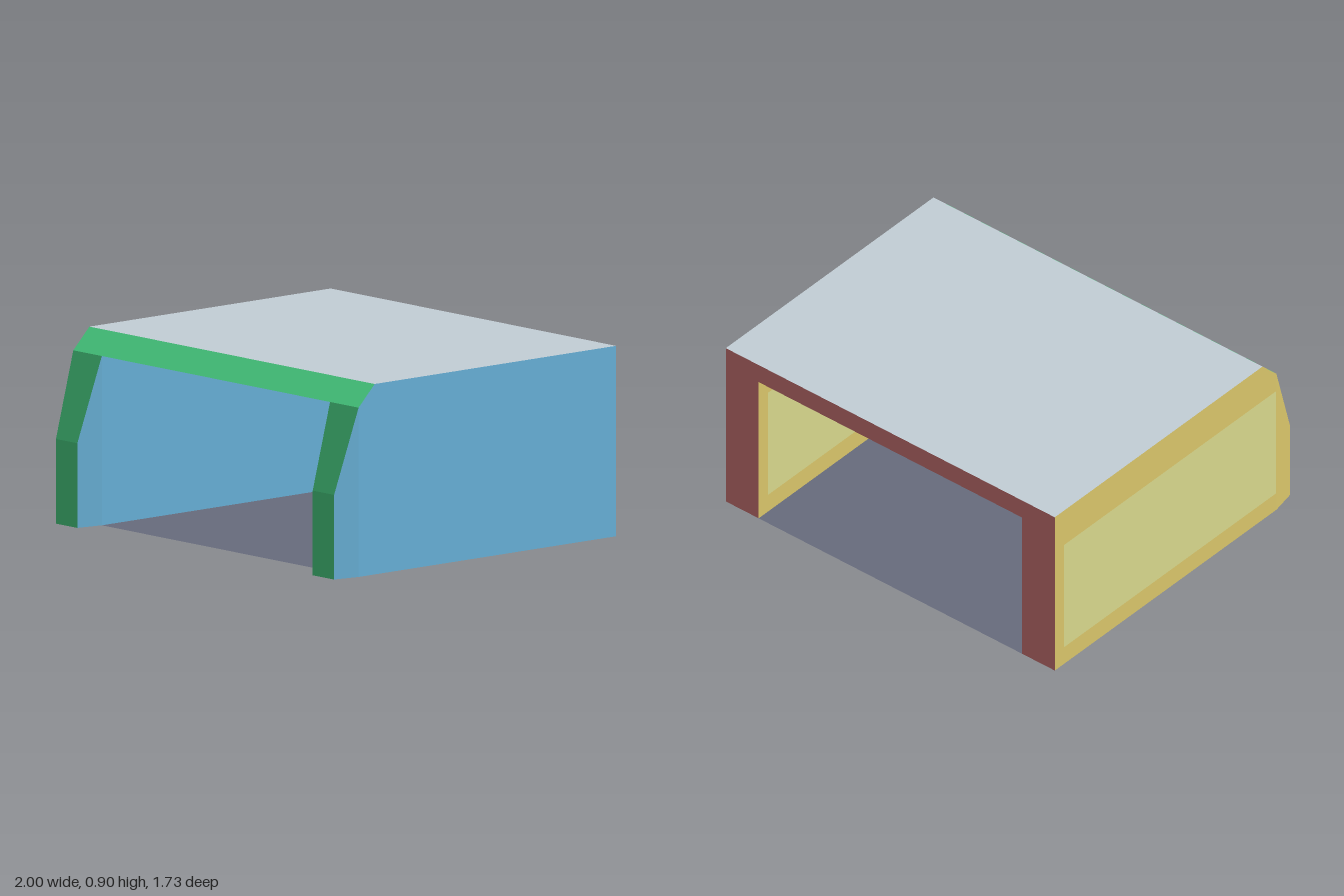
import * as THREE from 'three';

const mat = (name, color, side = THREE.FrontSide) => {
  const m = new THREE.MeshStandardMaterial({ color, side });
  m.name = name;
  return m;
};

// Flat convex polygon as a triangle fan, turned so that it faces dir
function face(name, material, corners, dir) {
  let pts = corners.map((c) => new THREE.Vector3(...c));
  const normal = (p) => p[1].clone().sub(p[0]).cross(p[2].clone().sub(p[0]));
  if (normal(pts).dot(new THREE.Vector3(...dir)) < 0) pts = pts.reverse();
  const tris = [];
  for (let i = 1; i < pts.length - 1; i++) tris.push(pts[0], pts[i], pts[i + 1]);
  const geometry = new THREE.BufferGeometry().setFromPoints(tris);
  geometry.computeVertexNormals();
  const mesh = new THREE.Mesh(geometry, material);
  mesh.name = name;
  return mesh;
}

export function createModel() {
  const group = new THREE.Group();
  group.name = 'openShelter';

  const green = mat('frontGreen', 0x4ede8c);
  const blue = mat('sideBlue', 0x68b1d8);
  const olive = mat('sideOlive', 0xdbc76b);
  const paleOlive = mat('panelOlive', 0xdada8e);
  const red = mat('backRed', 0xdd8080);
  const grey = mat('roofGrey', 0xc4d0d8);
  const slate = mat('floorSlate', 0x686c7e, THREE.DoubleSide);

  // Main levels: outer and inner half width, heights and depths
  const W = 1, I = 0.8, H = 0.9, C = 0.8, K = 0.4;
  const back = -0.865, roofEnd = 0.635, wallEnd = 0.735, front = 0.865;
  const taper = 0.025;
  const add = (...args) => group.add(face(...args));

  // Roof, ceiling, floor and the sloping front edge of the roof
  const slab = (y, w, z) => [[-w, y, back], [w, y, back], [w, y, z], [-w, y, z]];
  add('roof', grey, slab(H, W, roofEnd), [0, 1, 0]);
  add('ceiling', slate, slab(C, I, wallEnd), [0, -1, 0]);
  add('floor', slate, slab(0, W, wallEnd), [0, -1, 0]);
  add('frontBevel', green,
    [[-W, H, roofEnd], [W, H, roofEnd], [W, C, wallEnd], [-W, C, wallEnd]], [0, 1, 1]);
  add('backBeam', red, [[-W, C, back], [W, C, back], [W, H, back], [-W, H, back]], [0, 0, -1]);

  for (const s of [1, -1]) {
    const sideName = s > 0 ? 'left' : 'right';
    const outerMat = s > 0 ? blue : olive;
    const innerMat = s > 0 ? olive : blue;

    // Outer and inner wall surfaces
    add(sideName + 'OuterWall', outerMat,
      [[back, 0], [wallEnd, 0], [wallEnd, C], [roofEnd, H], [back, H]]
        .map(([z, y]) => [s * W, y, z]), [s, 0, 0]);
    add(sideName + 'InnerWall', innerMat,
      [[back, 0], [wallEnd, 0], [wallEnd, C], [back, C]]
        .map(([z, y]) => [s * I, y, z]), [-s, 0, 0]);

    // Pale panel on the wall surface that faces -x
    const px = (s > 0 ? I : -W) - 0.002;
    add(sideName + 'WallPanel', paleOlive,
      [[-0.8, 0.1], [0.73, 0.1], [0.73, 0.7], [-0.8, 0.7]]
        .map(([z, y]) => [px, y, z]), [-1, 0, 0]);

    // Back post
    add(sideName + 'BackPost', red,
      [[s * I, 0, back], [s * W, 0, back], [s * W, C, back], [s * I, C, back]], [0, 0, -1]);

    // Tapered front post
    const o = s * (W - taper), n = s * (I + taper);
    add(sideName + 'PostFront', green,
      [[o, 0, front], [n, 0, front], [n, K, front], [o, K, front]], [0, 0, 1]);
    add(sideName + 'PostSlope', green,
      [[o, K, front], [n, K, front], [s * I, C, wallEnd], [s * W, C, wallEnd]], [0, 0, 1]);
    add(sideName + 'PostOuter', outerMat,
      [[s * W, 0, wallEnd], [o, 0, front], [o, K, front], [s * W, C, wallEnd]], [s, 0, 0]);
    add(sideName + 'PostInner', innerMat,
      [[s * I, 0, wallEnd], [n, 0, front], [n, K, front], [s * I, C, wallEnd]], [-s, 0, 0]);
    add(sideName + 'PostFoot', slate,
      [[s * W, 0, wallEnd], [o, 0, front], [n, 0, front], [s * I, 0, wallEnd]], [0, -1, 0]);
  }
  return group;
}
